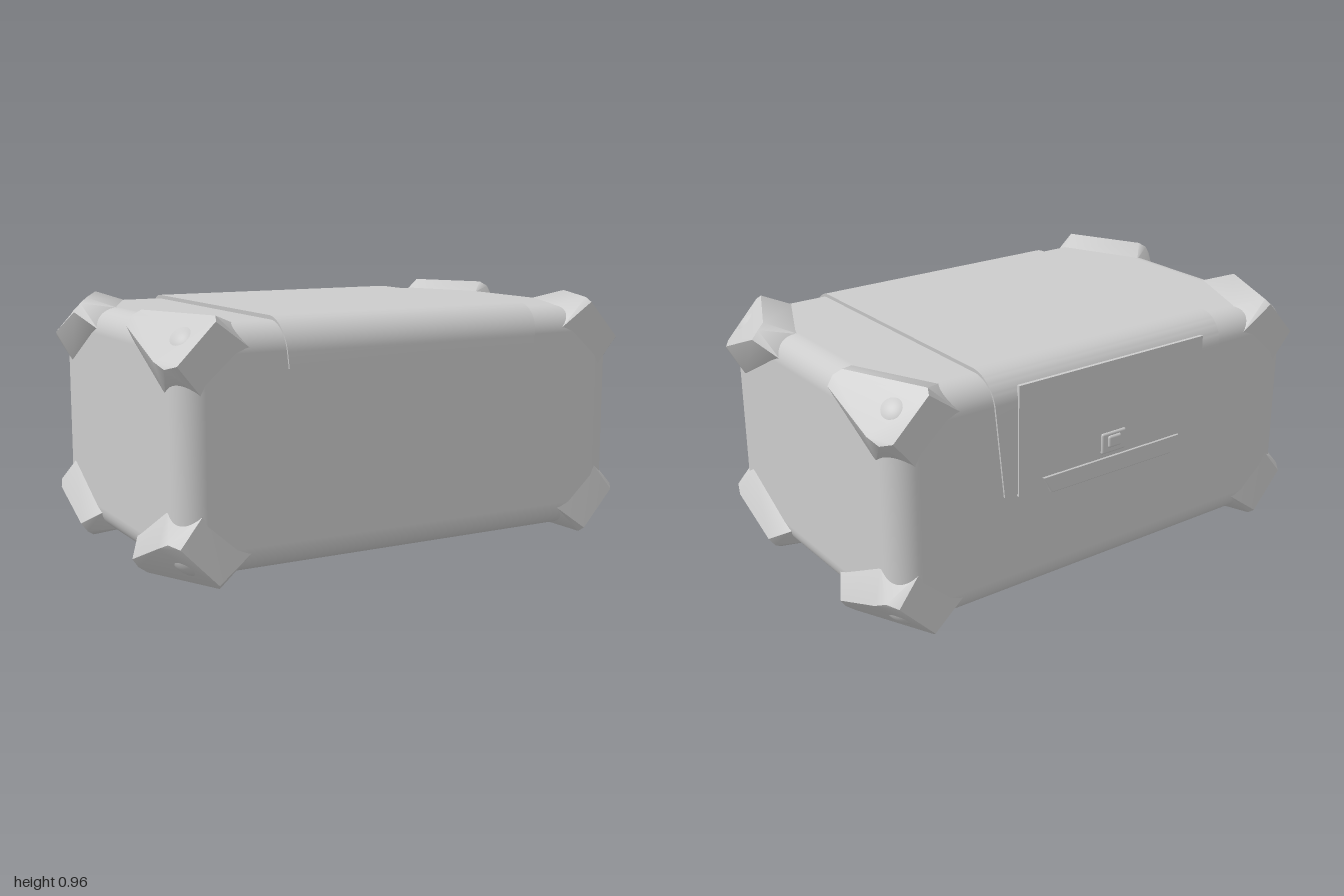
import * as THREE from 'three';
import { toCreasedNormals } from 'three/addons/utils/BufferGeometryUtils.js';
import { RoundedBoxGeometry } from 'three/addons/geometries/RoundedBoxGeometry.js';
import { ConvexGeometry } from 'three/addons/geometries/ConvexGeometry.js';

const CY = 0.485, CZ = 0.0075; // centre of the crate body

export function createModel() {
  const group = new THREE.Group();
  const material = new THREE.MeshStandardMaterial({ color: 0xcccccc });
  const add = (name, geometry, x = 0, y = 0, z = 0) => {
    const mesh = new THREE.Mesh(geometry, material);
    mesh.name = name;
    mesh.position.set(x, y, z);
    group.add(mesh);
    return mesh;
  };

  // Main body with rounded edges
  add('body', new RoundedBoxGeometry(1.89, 0.89, 1.255, 6, 0.1), 0, CY, CZ);

  // Corner guards: a flat six-sided cap flaring back into the body
  const cap = [
    [0.80, 0.963, 0.625], [0.945, 0.965, 0.31], [0.975, 0.945, 0.295],
    [1, 0.91, 0.30], [0.998, 0.81, 0.55], [0.98, 0.787, 0.60],
    [0.95, 0.80, 0.64], [0.81, 0.945, 0.648],
  ];
  const flare = [
    [0.70, 0.927, 0.54], [0.85, 0.927, 0.21], [0.94, 0.85, 0.20],
    [0.942, 0.69, 0.51], [0.86, 0.69, 0.633], [0.68, 0.85, 0.633],
    [0.6, 0.6, 0.2],
  ];
  for (const sx of [1, -1]) for (const sy of [1, -1]) for (const sz of [1, -1]) {
    const points = [...cap, ...flare].map(([x, y, z]) =>
      new THREE.Vector3(sx * x, CY + sy * (y - CY), CZ + sz * (z - CZ)));
    const name = (sy > 0 ? 'top' : 'bottom') + (sz > 0 ? 'Front' : 'Back') + (sx > 0 ? 'Left' : 'Right') + 'CornerGuard';
    add(name, toCreasedNormals(new ConvexGeometry(points), 0.75));
  }

  // Lid: side profile (front at negative shape x) swept across the width
  const front = -0.643, back = 0.628, top = 0.945, r = 0.12;
  const profile = new THREE.Shape();
  profile.moveTo(-0.5, 0.765);
  profile.lineTo(back - 0.1, 0.47);
  profile.lineTo(back, 0.47);
  profile.lineTo(back, top - r);
  profile.absarc(back - r, top - r, r, 0, Math.PI / 2);
  profile.lineTo(front + r, top);
  profile.absarc(front + r, top - r, r, Math.PI / 2, Math.PI);
  profile.lineTo(front, 0.765);
  const lid = new THREE.ExtrudeGeometry(profile, { depth: 1.1, bevelEnabled: false, curveSegments: 10 });
  lid.translate(0, 0, -0.55).rotateY(Math.PI / 2);
  // Narrow the lid slightly towards its lower edge
  const p = lid.attributes.position;
  for (let i = 0; i < p.count; i++) p.setX(i, p.getX(i) * (1 - 0.2 * (top - p.getY(i))));
  add('lid', toCreasedNormals(lid, 0.6));

  // Back plate, standing proud of the rounded top edge
  add('backPlate', new THREE.BoxGeometry(0.88, 0.43, 0.014), 0, 0.675, -0.627);

  // Handle bar and latch on the back
  const bar = new THREE.Shape([[-0.33, 0.03], [0.33, 0.03], [0.29, -0.035], [-0.29, -0.035]]
    .reverse().map(([x, y]) => new THREE.Vector2(x, y)));
  add('handleBar', new THREE.ExtrudeGeometry(bar, {
    depth: 0.012, bevelThickness: 0.004, bevelSize: 0.004, bevelSegments: 1,
  }), 0, 0.475, -0.636);
  add('latchFrame', new RoundedBoxGeometry(0.12, 0.085, 0.02, 3, 0.009), 0, 0.565, -0.631);
  add('latchButton', new RoundedBoxGeometry(0.065, 0.05, 0.026, 3, 0.01), 0, 0.57, -0.635);

  return group;
}
